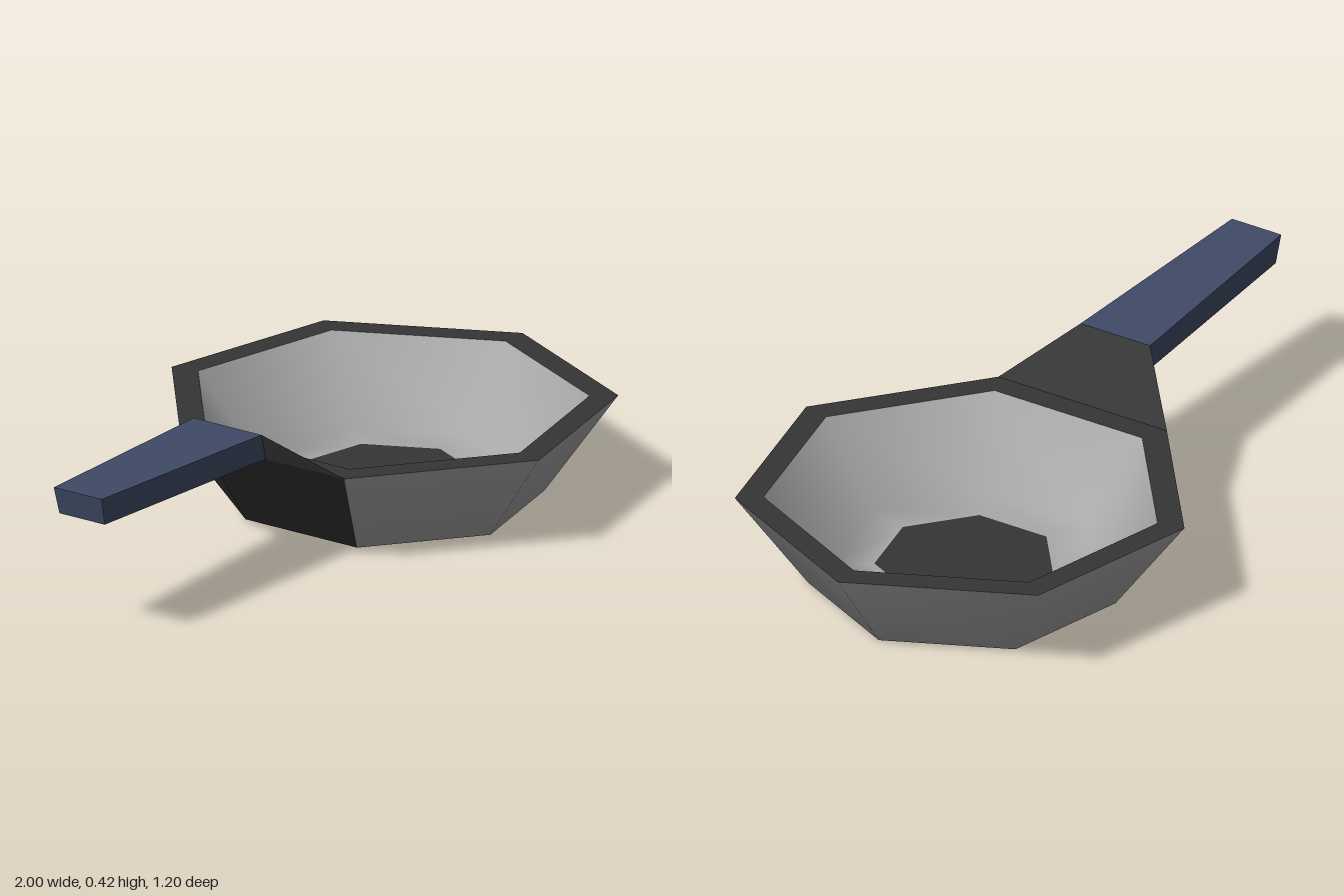
import * as THREE from 'three';

const SIDES = 7;
const BOWL_X = 0.385;

const steel = new THREE.MeshStandardMaterial({ color: 0xa8a8a8 });
steel.name = 'light steel';
const iron = new THREE.MeshStandardMaterial({ color: 0x353535 });
iron.name = 'dark iron';
const grip = new THREE.MeshStandardMaterial({ color: 0x404a66 });
grip.name = 'navy grip';

function makeMesh(name, positions, index, material, flat) {
  let geometry = new THREE.BufferGeometry();
  geometry.setAttribute('position', new THREE.Float32BufferAttribute(positions, 3));
  geometry.setIndex(index);
  if (flat) geometry = geometry.toNonIndexed();
  geometry.computeVertexNormals();
  const mesh = new THREE.Mesh(geometry, material);
  mesh.name = name;
  return mesh;
}

// Seven-sided surface of revolution from [radius, height] pairs, smooth across its rings.
function heptagonLoft(name, profile, material) {
  const positions = [];
  const index = [];
  profile.forEach(([r, y], ring) => {
    for (let i = 0; i < SIDES; i++) {
      const t = (i / SIDES) * Math.PI * 2;
      positions.push(BOWL_X + r * Math.cos(t), y, r * Math.sin(t));
      if (ring === 0) continue;
      const next = (i + 1) % SIDES;
      const low = (ring - 1) * SIDES;
      const high = ring * SIDES;
      if (r > 0) index.push(low + i, high + i, high + next);
      if (profile[ring - 1][0] > 0) index.push(low + i, high + next, low + next);
    }
  });
  return makeMesh(name, positions, index, material, false);
}

// Flat-sided bar between two end sections, each given as top and bottom [x, y, halfWidth].
function taperedBar(name, left, right, material) {
  const positions = [];
  for (const [top, bottom] of [left, right]) {
    for (const [[x, y, w], side] of [[top, 1], [top, -1], [bottom, -1], [bottom, 1]]) {
      positions.push(x, y, side * w);
    }
  }
  const index = [0, 1, 2, 0, 2, 3, 4, 6, 5, 4, 7, 6]; // end caps
  for (let i = 0; i < 4; i++) {
    const j = (i + 1) % 4;
    index.push(i, i + 4, j + 4, i, j + 4, j);
  }
  return makeMesh(name, positions, index, material, true);
}

export function createModel() {
  const pan = new THREE.Group();
  pan.name = 'fryingPan';

  // Bowl: outside with base, flat rim, inside, and dark centre of the floor
  pan.add(
    heptagonLoft('bowlOutside', [[0, 0], [0.42, 0], [0.615, 0.265]], steel),
    heptagonLoft('rim', [[0.615, 0.265], [0.539, 0.265]], iron),
    heptagonLoft('bowlInside', [[0.539, 0.265], [0.37, 0.05], [0.245, 0.05]], steel),
    heptagonLoft('floorCentre', [[0.245, 0.05], [0, 0.05]], iron),
  );

  // Neck rises from the flat side of the bowl to the handle
  const handleFront = [[-0.325, 0.402, 0.11], [-0.3, 0.325, 0.105]];
  pan.add(
    taperedBar('neck', handleFront, [[-0.169, 0.265, 0.267], [0.006, 0, 0.182]], iron),
    taperedBar('handle', [[-1, 0.417, 0.078], [-0.98, 0.339, 0.074]], handleFront, grip),
  );
  return pan;
}
